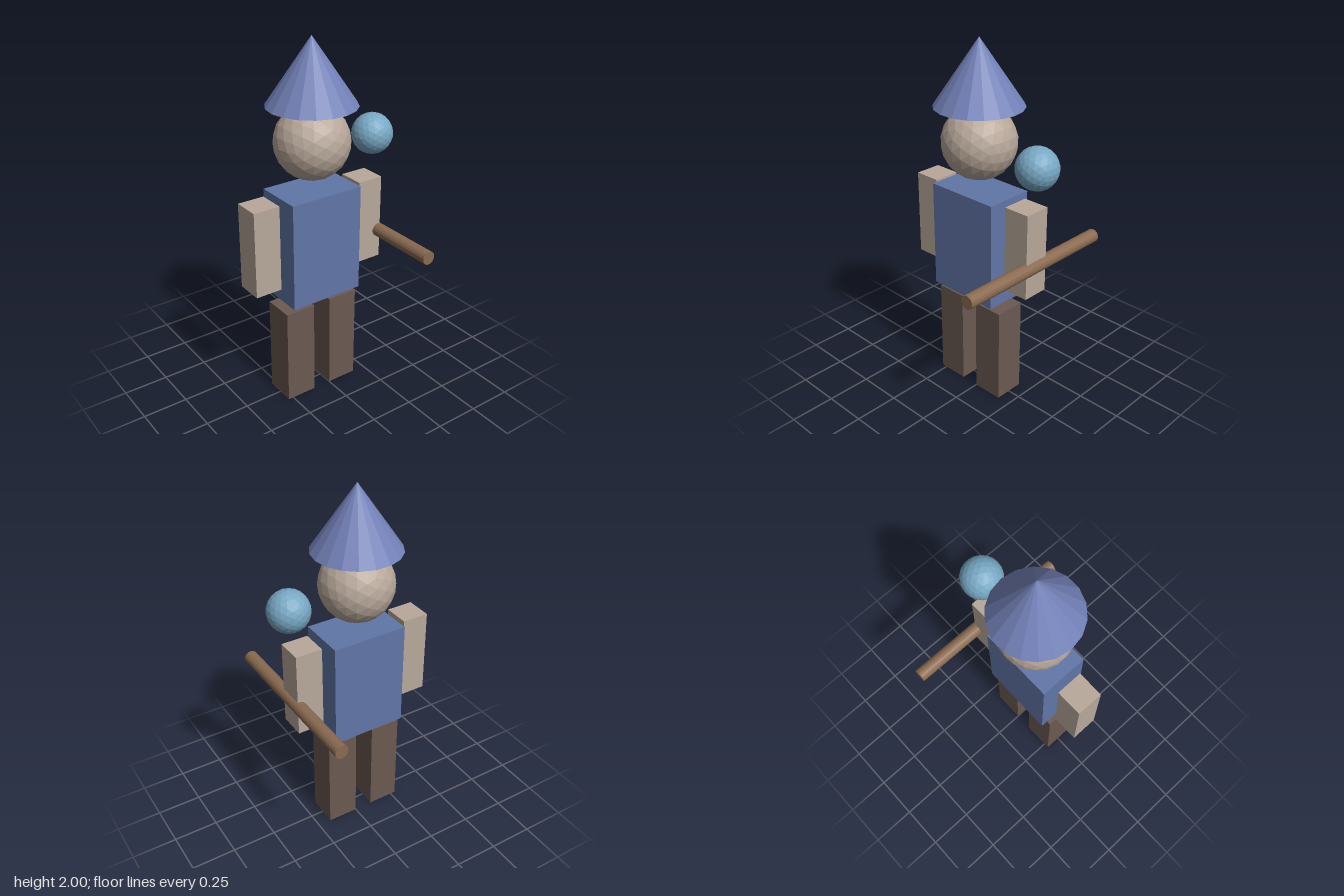
import * as THREE from 'three';

const CX = -0.052; // centre line of the body

export function createModel() {
  const model = new THREE.Group();

  const material = (color) => new THREE.MeshStandardMaterial({ color, flatShading: true });
  const skin = material(0xb8a89a);
  const cloth = material(0x6176a8);
  const trousers = material(0x6b5a52);
  const felt = material(0x7381b8);
  const wood = material(0x8a6a50);
  const glass = material(0x78a8c4);

  const add = (name, geometry, mat, x, y, z = 0) => {
    const mesh = new THREE.Mesh(geometry, mat);
    mesh.name = name;
    mesh.position.set(x, y, z);
    model.add(mesh);
    return mesh;
  };

  // Torso
  add('torso', new THREE.BoxGeometry(0.425, 0.6, 0.273), cloth, CX, 0.907);

  // Paired limbs
  for (const [side, s] of [['left', 1], ['right', -1]]) {
    add(side + 'Arm', new THREE.BoxGeometry(0.15, 0.478, 0.15), skin, CX + s * 0.327, 0.957);
    add(side + 'Leg', new THREE.BoxGeometry(0.175, 0.555, 0.175), trousers, CX + s * 0.14, 0.2775);
  }

  // Head and pointed hat
  add('head', new THREE.IcosahedronGeometry(0.2, 3), skin, CX, 1.462);
  const hat = add('hat', new THREE.ConeGeometry(0.237, 0.348, 18), felt, CX, 1.826);
  hat.rotation.y = Math.PI / 2;

  // Staff held level through the left arm, with an orb floating above it
  const staff = add('staff', new THREE.CylinderGeometry(0.0375, 0.0375, 0.978, 18), wood, 0.339, 0.882);
  staff.rotation.x = Math.PI / 2;
  add('orb', new THREE.IcosahedronGeometry(0.112, 3), glass, 0.339, 1.424);

  return model;
}
